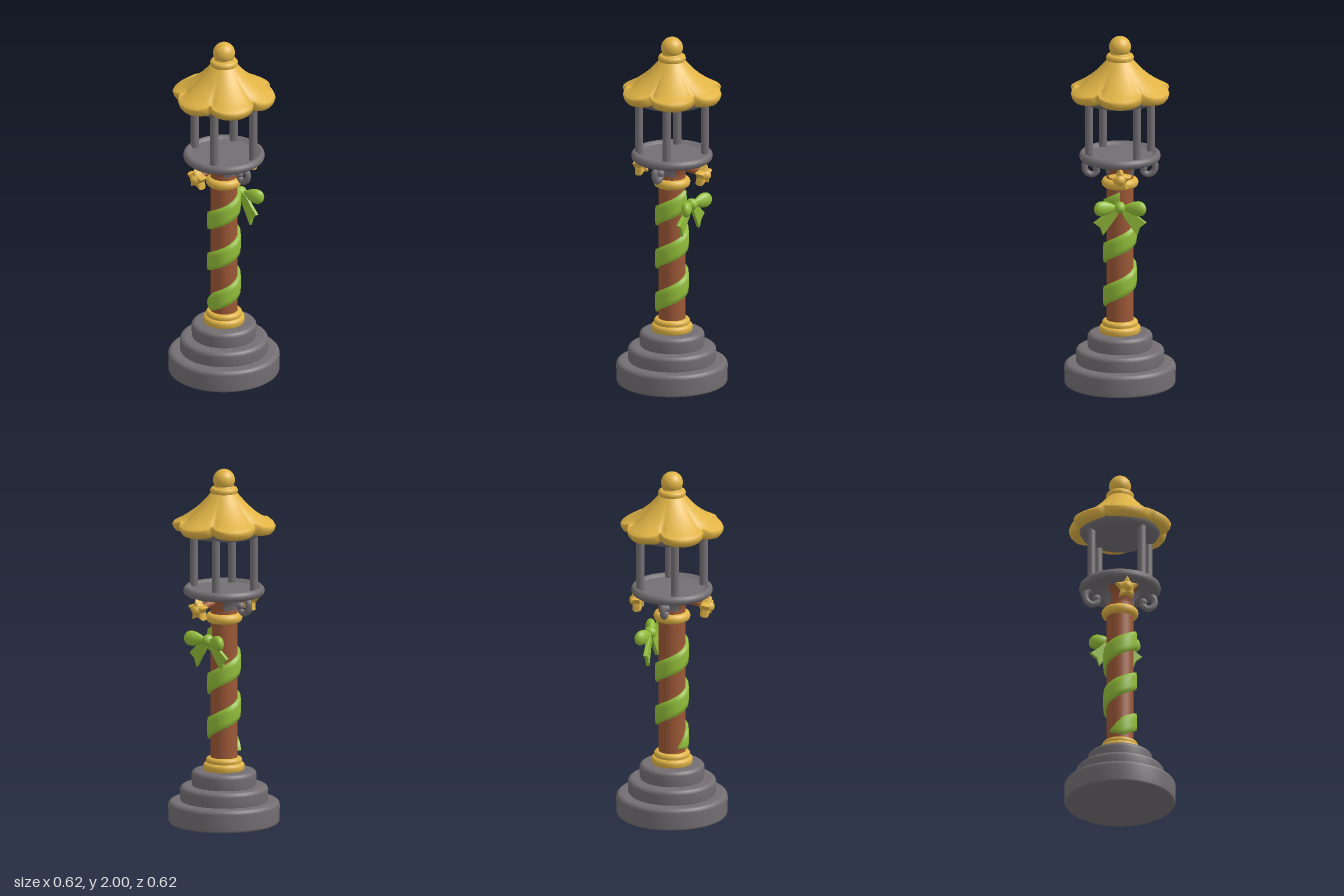
import * as THREE from 'three';

const mat = (name, color, opts = {}) => {
  const m = new THREE.MeshStandardMaterial({ color, ...opts });
  m.name = name;
  return m;
};

export function createModel() {
  const iron = mat('iron grey', 0x736e72);
  const gold = mat('gold', 0xe0b345);
  const wood = mat('copper brown', 0x9c5836);
  const green = mat('ribbon green', 0x93be3a);
  const root = new THREE.Group();
  root.name = 'lanternPost';

  const add = (name, geometry, material, parent = root) => {
    const mesh = new THREE.Mesh(geometry, material);
    mesh.name = name;
    parent.add(mesh);
    return mesh;
  };
  const lathe = (pts, seg = 48, start = 0, sweep = Math.PI * 2) =>
    new THREE.LatheGeometry(pts.map(p => new THREE.Vector2(p[0], p[1])), seg, start, sweep);
  // Round slab with softened edges of radius b
  const slab = (r, y0, y1, b) => {
    const pts = [[0, y0], [(r - b) * 0.97, y0]];
    for (let i = 0; i <= 8; i++) {
      const a = -Math.PI / 2 + i * Math.PI / 8;
      pts.push([r - b + b * Math.cos(a), (a < 0 ? y0 + b : y1 - b) + b * Math.sin(a)]);
    }
    pts.push([(r - b) * 0.97, y1], [0, y1]);
    return lathe(pts);
  };

  // Stepped base
  [[0.309, 0, 0.13], [0.245, 0.12, 0.215], [0.18, 0.205, 0.302]].forEach(([r, y0, y1], i) =>
    add('baseStep' + (i + 1), slab(r, y0, y1, 0.025), iron));

  // Column and its gold collars
  add('column', new THREE.CylinderGeometry(0.076, 0.076, 0.9, 32, 1, true).translate(0, 0.76, 0), wood);
  add('lowerCollar', slab(0.115, 0.295, 0.345, 0.02), gold);
  add('lowerCollarRing', slab(0.1, 0.335, 0.375, 0.018), gold);
  add('upperCollar', slab(0.102, 1.135, 1.19, 0.026), gold);

  // Flared head of the column, in quarters of alternating colour
  for (let k = 0; k < 4; k++) {
    add('columnHead', lathe([[0.072, 1.17], [0.075, 1.21], [0.085, 1.25], [0.11, 1.28], [0.14, 1.3]],
      10, (k - 0.5) * Math.PI / 2, Math.PI / 2), k % 2 ? wood : iron);
  }

  // Scroll brackets: plain ones front and back, starred ones at the sides
  const scroll = new THREE.CatmullRomCurve3([[0.17, 1.295], [0.194, 1.265], [0.188, 1.225], [0.157, 1.207],
    [0.13, 1.222], [0.128, 1.245]].map(([r, y]) => new THREE.Vector3(0, y, r)));
  const starShape = new THREE.Shape(Array.from({ length: 10 }, (_, i) => {
    const a = Math.PI / 2 + i * Math.PI / 5, r = i % 2 ? 0.028 : 0.056;
    return new THREE.Vector2(r * Math.cos(a), r * Math.sin(a));
  }));
  const starGeo = new THREE.ExtrudeGeometry(starShape, {
    depth: 0.015, bevelEnabled: true, bevelThickness: 0.018, bevelSize: 0.012, bevelOffset: -0.004, bevelSegments: 4,
  });
  for (let k = 0; k < 4; k++) {
    const bracket = new THREE.Group();
    bracket.name = k % 2 ? 'starBracket' : 'scrollBracket';
    bracket.rotation.y = k * Math.PI / 2;
    root.add(bracket);
    if (k % 2) {
      const arm = new THREE.CatmullRomCurve3([[0.07, 1.26], [0.13, 1.25], [0.19, 1.24]]
        .map(([r, y]) => new THREE.Vector3(0, y, r)));
      add('arm', new THREE.TubeGeometry(arm, 10, 0.02, 10), wood, bracket);
      const star = add('star', starGeo, gold, bracket);
      star.position.set(0, 1.233, 0.19);
      star.rotation.x = 0.12;
      const boss = add('starCentre', new THREE.SphereGeometry(0.034, 20, 14).scale(1, 1, 1.3), gold, bracket);
      boss.position.set(0, 1.233, 0.2);
    } else {
      add('scroll', new THREE.TubeGeometry(scroll, 32, 0.018, 12), iron, bracket);
      add('scrollTip', new THREE.SphereGeometry(0.022, 14, 10).translate(0, 1.245, 0.13), iron, bracket);
    }
  }

  // Lantern floor with raised rim, ceiling, and four posts
  add('lanternFloor', lathe([[0, 1.288], [0.19, 1.288], [0.21, 1.29], [0.222, 1.3], [0.226, 1.315], [0.222, 1.33],
    [0.21, 1.341], [0.197, 1.338], [0.187, 1.328], [0.18, 1.325], [0, 1.325]]), iron);
  add('lanternCeiling', lathe([[0, 1.622], [0.175, 1.622], [0.19, 1.625], [0.212, 1.64], [0.225, 1.66],
    [0.222, 1.68], [0.2, 1.695], [0, 1.7]]), iron);
  [[0.063, 0.172], [0.157, -0.093], [-0.063, -0.172], [-0.157, 0.093]].forEach(([x, z]) =>
    add('lanternPostBar', new THREE.CylinderGeometry(0.023, 0.023, 0.32, 16).translate(x, 1.475, z), iron));

  // Six-petalled roof: a lathe whose rim is scalloped and lifted at the notches
  const roof = lathe([[0.17, 1.675], [0.21, 1.66], [0.25, 1.643], [0.27, 1.648], [0.284, 1.664], [0.291, 1.684],
    [0.284, 1.697], [0.255, 1.712], [0.215, 1.736], [0.17, 1.768], [0.13, 1.802], [0.095, 1.84], [0.07, 1.87],
    [0.05, 1.885]], 96);
  const rp = roof.attributes.position;
  for (let i = 0; i < rp.count; i++) {
    const x = rp.getX(i), y = rp.getY(i), z = rp.getZ(i), r = Math.hypot(x, z);
    const notch = 1 - Math.pow(Math.abs(Math.cos(3 * Math.atan2(z, x))), 0.6);
    const w = Math.max(0, (r - 0.07) / 0.22) ** 1.5 * notch;
    const f = 1 - 0.16 * w;
    rp.setXYZ(i, x * f, y + (y < 1.7 ? 0.03 : -0.012) * w, z * f);
  }
  roof.computeVertexNormals();
  gold.side = THREE.DoubleSide;
  add('petalRoof', roof, gold);

  // Finial
  add('finialRing', slab(0.077, 1.858, 1.9, 0.019), gold);
  add('finialNeck', new THREE.CylinderGeometry(0.045, 0.06, 0.03, 24).translate(0, 1.905, 0), gold);
  add('finialBall', new THREE.SphereGeometry(0.061, 28, 20).translate(0, 1.939, 0), gold);

  // Ribbon: a plane strip wound up the column, tapering at its lower end
  const ribbon = new THREE.PlaneGeometry(1, 1, 160, 6);
  const p = ribbon.attributes.position;
  for (let i = 0; i < p.count; i++) {
    const turn = -0.9 + (p.getX(i) + 0.5) * (5 * Math.PI + 0.9);
    const v = p.getY(i) * 2;
    const half = 0.056 * Math.min(1, (turn + 0.9) / 0.9);
    const r = Math.abs(v) > 0.9 ? 0.073 : 0.094 - 0.004 * v * v;
    const y = 0.445 + 0.25 * turn / (2 * Math.PI) + half * (Math.abs(v) > 0.9 ? Math.sign(v) : v * 1.4);
    const a = turn - Math.PI / 2;
    p.setXYZ(i, r * Math.sin(a), y, r * Math.cos(a));
  }
  ribbon.computeVertexNormals();
  green.side = THREE.DoubleSide;
  add('spiralRibbon', ribbon, green);

  // Bow on the left side
  const bow = new THREE.Group();
  bow.name = 'bow';
  root.add(bow);
  add('bowKnot', new THREE.SphereGeometry(1, 20, 14).scale(0.035, 0.033, 0.03).translate(0.125, 1.05, 0), green, bow);
  for (const s of [1, -1]) {
    // Loop swelling towards its outer end
    const loop = new THREE.SphereGeometry(1, 24, 18);
    const q = loop.attributes.position;
    for (let i = 0; i < q.count; i++) {
      const z = q.getZ(i), t = (s * z + 1) / 2, k = 0.4 + 0.75 * t;
      q.setXYZ(i, 0.125 + 0.035 * t + 0.036 * k * q.getX(i), 1.05 + 0.05 * k * q.getY(i), s * 0.08 + 0.065 * z);
    }
    loop.computeVertexNormals();
    add('bowLoop', loop, green, bow);
    // Swallow-tailed end
    const tail = new THREE.Shape([[0.0, 1.04], [0.03, 0.985], [0.065, 0.935], [0.095, 0.89], [0.108, 0.935],
      [0.142, 0.962], [0.1, 0.995], [0.065, 1.03], [0.03, 1.055]].map(([z, y]) => new THREE.Vector2(-s * z, y - 1.05)));
    const geo = new THREE.ExtrudeGeometry(tail, {
      depth: 0.01, bevelEnabled: true, bevelThickness: 0.005, bevelSize: 0.003, bevelSegments: 2,
    });
    geo.rotateY(Math.PI / 2).rotateZ(-0.06).translate(0.118, 1.05, 0);
    add('bowTail', geo, green, bow);
  }
  return root;
}
